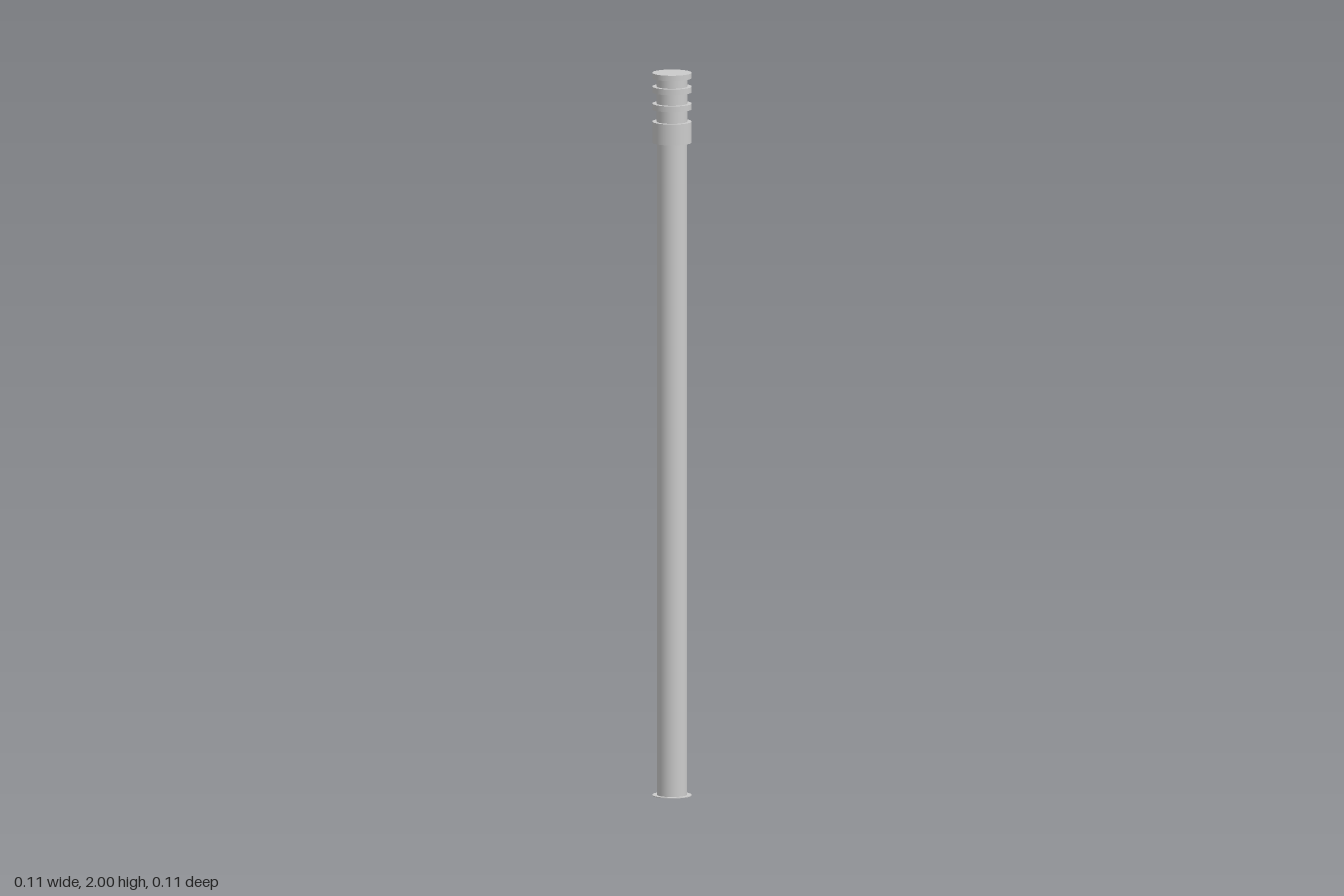
import * as THREE from 'three';

const SIDES = 32;
const SHAFT_R = 0.041;
const WIDE_R = 0.054;

export function createModel() {
  const model = new THREE.Group();
  model.name = 'bollardLight';
  const material = new THREE.MeshStandardMaterial({ color: 0xcccccc });

  // Upright round part between two heights
  const round = (name, radius, y0, y1) => {
    const mesh = new THREE.Mesh(new THREE.CylinderGeometry(radius, radius, y1 - y0, SIDES), material);
    mesh.position.y = (y0 + y1) / 2;
    mesh.name = name;
    model.add(mesh);
  };

  // Paper-thin foot plate, shaft and the collar carrying the lamp head
  round('basePlate', WIDE_R, 0, 0.002);
  round('shaft', SHAFT_R, 0.002, 1.82);
  round('collar', WIDE_R, 1.807, 1.865);

  // Lamp core with louvre rings and a flat cap
  round('lampCore', 0.042, 1.86, 1.99);
  [1.907, 1.954].forEach((y, i) => round('louvreRing' + (i + 1), WIDE_R, y - 0.008, y + 0.008));
  round('cap', WIDE_R, 1.985, 2);

  return model;
}
